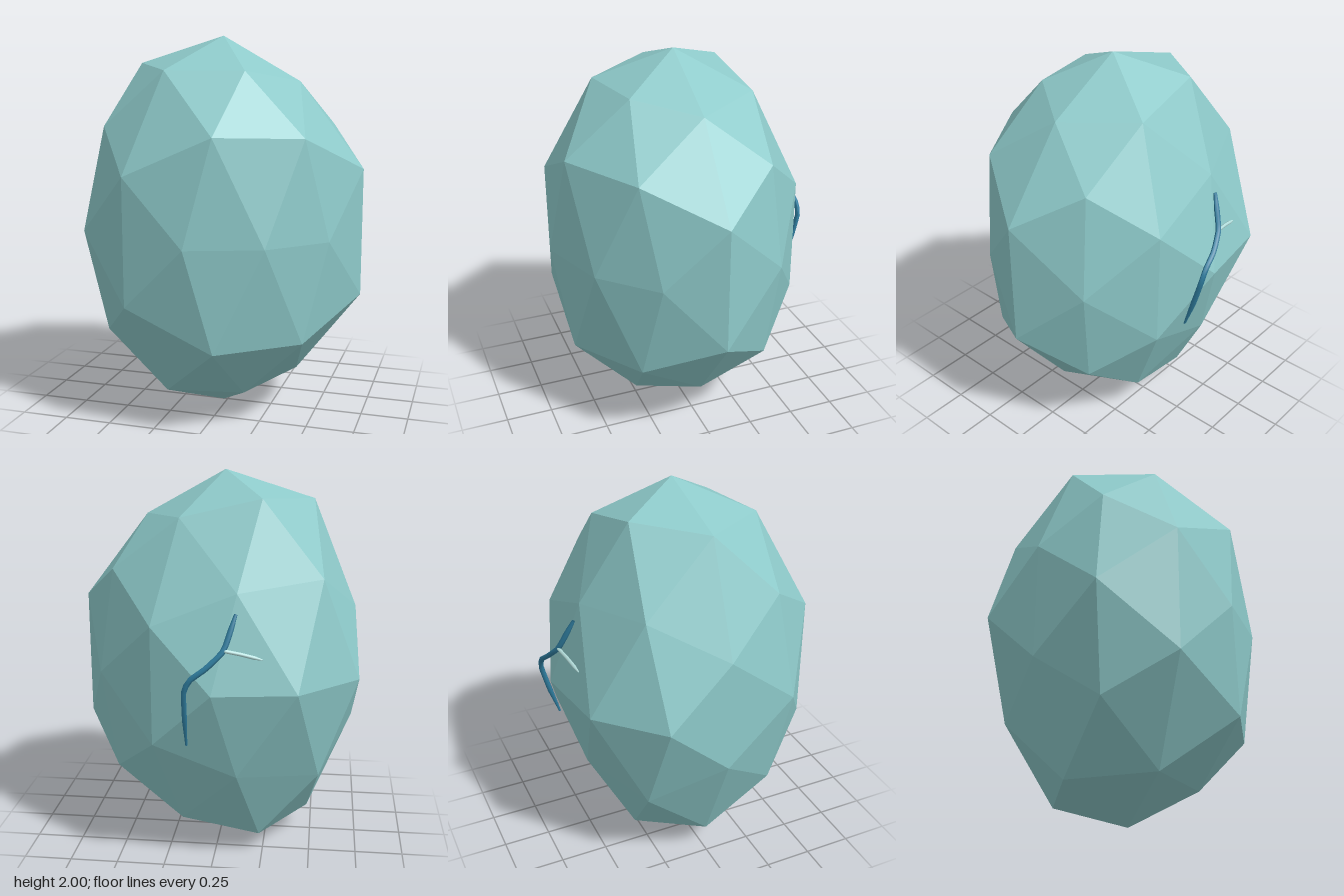
import * as THREE from 'three';

// Uneven swelling of the shell: [height of direction, degrees from +x to +z, radius factor]; same above and below
const SWELL = [
  [0, 26.6, 0.96], [0, 58.3, 0.958], [0, 90, 1.007], [0, 148.3, 1.041],
  [0, 206.6, 1.078], [0, 238.3, 1.07], [0, 270, 1.003], [0, 328.3, 0.972],
  [0.309, 0, 1.07], [0.309, 116.6, 1.06], [0.309, 180, 0.98], [0.309, 296.6, 0.98],
  [0.5, 37.4, 1.025], [0.5, 79.2, 1.06], [0.5, 217.4, 1.025], [0.5, 259.2, 0.94],
  [0.526, 148.3, 1.032], [0.526, 328.3, 1.01],
  [0.809, 0, 0.952], [0.809, 116.6, 1.027], [0.809, 180, 1.06], [0.809, 296.6, 0.985],
  [0.851, 58.3, 0.975], [0.851, 238.3, 1.045],
  [1, 0, 1],
].map(([h, deg, k]) => {
  const a = THREE.MathUtils.degToRad(deg), r = Math.sqrt(1 - h * h);
  return { dir: new THREE.Vector3(r * Math.cos(a), h, r * Math.sin(a)), k };
});

function swellAt(n) {
  const up = new THREE.Vector3(n.x, Math.abs(n.y), n.z);
  return SWELL.reduce((best, s) => (s.dir.dot(up) > best.dir.dot(up) ? s : best)).k;
}

// Faceted egg: a once-divided icosahedron, turned, swollen and stretched
function eggGeometry() {
  const geo = new THREE.IcosahedronGeometry(1, 1);
  geo.rotateY(-THREE.MathUtils.degToRad(58.28));
  const pos = geo.attributes.position, n = new THREE.Vector3();
  for (let i = 0; i < pos.count; i++) {
    n.fromBufferAttribute(pos, i).normalize();
    n.multiplyScalar(swellAt(n));
    pos.setXYZ(i, n.x * 0.735 - 0.02, n.y + 1, n.z * 0.68 + 0.005);
  }
  geo.computeVertexNormals();
  return geo;
}

// Tube along a path, narrowing towards both ends
function crackGeometry(points, radius, startSize, endSize) {
  const curve = new THREE.CatmullRomCurve3(points.map((p) => new THREE.Vector3(...p)), false, 'catmullrom', 0.2);
  const steps = 20, sides = 6;
  const geo = new THREE.TubeGeometry(curve, steps, radius, sides);
  const pos = geo.attributes.position, v = new THREE.Vector3();
  for (let i = 0; i <= steps; i++) {
    const t = i / steps, c = curve.getPointAt(t);
    const size = Math.min(1, startSize + t * 4, endSize + (1 - t) * 3);
    for (let j = 0; j <= sides; j++) {
      const id = i * (sides + 1) + j;
      v.fromBufferAttribute(pos, id).sub(c).multiplyScalar(size).add(c);
      pos.setXYZ(id, v.x, v.y, v.z);
    }
  }
  geo.computeVertexNormals();
  return geo;
}

export function createModel() {
  const paint = (name, color) => {
    const m = new THREE.MeshStandardMaterial({ color });
    m.name = name;
    return m;
  };
  const shellTeal = paint('shell teal', 0x8ecaca);
  const crackBlue = paint('crack blue', 0x2f7d9f);
  const paleTeal = paint('pale teal', 0xb5e0de);
  shellTeal.flatShading = true;
  crackBlue.side = paleTeal.side = THREE.DoubleSide;

  const model = new THREE.Group();
  model.name = 'crackedEgg';
  const add = (name, geo, mat) => {
    const mesh = new THREE.Mesh(geo, mat);
    mesh.name = name;
    model.add(mesh);
  };

  add('eggShell', eggGeometry(), shellTeal);

  // Crack running down the back, with a fine side branch
  add('mainCrack', crackGeometry([
    [-0.13, 1.38, -0.572], [-0.08, 1.22, -0.64], [0.0, 1.14, -0.675],
    [0.08, 1.08, -0.688], [0.105, 1.02, -0.686], [0.108, 0.88, -0.65], [0.108, 0.72, -0.6],
  ], 0.014, 0.6, 0.4), crackBlue);
  add('sideCrack', crackGeometry([
    [-0.08, 1.22, -0.645], [-0.16, 1.2, -0.625], [-0.26, 1.17, -0.603],
  ], 0.009, 0.8, 0.4), paleTeal);

  return model;
}
